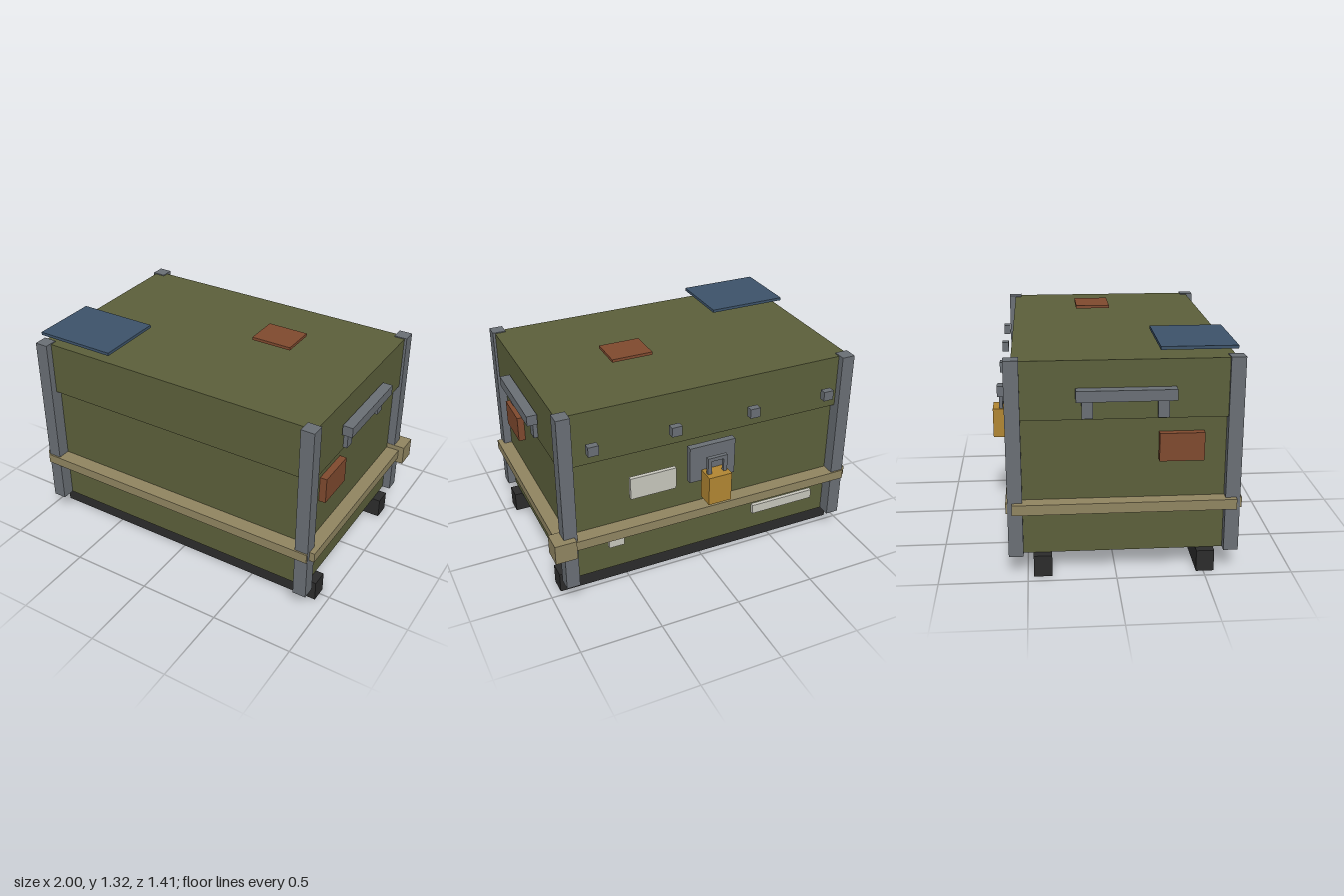
import * as THREE from 'three';

const mat = (name, color) => {
  const m = new THREE.MeshStandardMaterial({ color });
  m.name = name;
  return m;
};

export function createModel() {
  const olive = mat('olive paint', 0x5b5f3a);
  const steel = mat('grey steel', 0x696e74);
  const webbing = mat('tan webbing', 0x8f8460);
  const rubber = mat('black runner', 0x2b2b2b);
  const brass = mat('brass', 0xb08532);
  const blue = mat('blue sticker', 0x3c5269);
  const rust = mat('rust sticker', 0x7e492e);
  const paper = mat('pale label', 0xc6c5bb);

  const model = new THREE.Group();
  model.name = 'storageCrate';

  // Box given by its extents on each axis
  const box = (name, material, [x0, x1], [y0, y1], [z0, z1]) => {
    const mesh = new THREE.Mesh(new THREE.BoxGeometry(x1 - x0, y1 - y0, z1 - z0), material);
    mesh.position.set((x0 + x1) / 2, (y0 + y1) / 2, (z0 + z1) / 2);
    mesh.name = name;
    model.add(mesh);
  };
  // Range from a to b, measured outward from the centre c on side s
  const out = (c, s, a, b) => (s > 0 ? [c + a, c + b] : [c - b, c - a]);
  const CX = -0.007, CZ = 0.045;

  // Case, overhanging lid and runners
  box('body', olive, [CX - 0.89, CX + 0.89], [0.127, 0.925], [CZ - 0.57, CZ + 0.57]);
  box('lid', olive, [CX - 0.925, CX + 0.925], [0.925, 1.256], [CZ - 0.608, CZ + 0.608]);
  box('frontRunner', rubber, [-0.947, 0.933], [0, 0.127], [0.458, 0.56]);
  box('backRunner', rubber, [-0.947, 0.933], [0, 0.127], [-0.466, -0.362]);

  for (const s of [-1, 1]) {
    // Corner posts
    for (const t of [-1, 1])
      box('cornerPost', steel, out(CX, s, 0.858, 0.94), [0.127, 1.262], out(CZ, t, 0.567, 0.65));

    // Strap runs: one side, and one across the front or back
    box('sideStrap', webbing, out(CX, s, 0.885, 0.972), [0.392, 0.452], [CZ - 0.625, CZ + 0.627]);
    box('crossStrap', webbing, [-0.947, 0.931], [0.392, 0.452], out(CZ, s, 0.565, 0.66));

    // Side handle and sticker
    box('handleBar', steel, out(CX, s, 0.93, 0.992), [1.042, 1.104], [-0.223, 0.322]);
    for (const z of [-0.16, 0.254])
      box('handleLeg', steel, out(CX, s, 0.915, 0.95), [0.936, 1.042], [z - 0.031, z + 0.031]);
    box('sideSticker', rust, out(CX, s, 0.885, 0.932), [0.675, 0.837], [0.237, 0.487]);
  }

  // Strap buckle on the back corner
  box('strapBuckle', webbing, [0.868, 1.0], [0.36, 0.482], [-0.645, -0.52]);

  // Hinge studs on the back of the lid
  for (let i = 0; i < 4; i++) {
    const x = -0.76 + i * 0.501;
    box('hingeStud', steel, [x - 0.032, x + 0.032], [1.02, 1.08], [-0.645, -0.604]);
  }

  // Hasp and padlock
  box('hasp', steel, [-0.155, 0.14], [0.65, 0.885], [-0.604, -0.563]);
  box('padlock', brass, [-0.083, 0.064], [0.537, 0.723], [-0.708, -0.603]);
  for (const x of [-0.06, 0.041])
    box('shackleLeg', steel, [x - 0.012, x + 0.012], [0.72, 0.822], [-0.667, -0.645]);
  box('shackleTop', steel, [-0.073, 0.054], [0.808, 0.831], [-0.668, -0.643]);

  // Pale labels on the back
  box('largeLabel', paper, [0.224, 0.512], [0.635, 0.775], [-0.595, -0.57]);
  box('smallLabel', paper, [0.56, 0.655], [0.33, 0.425], [-0.595, -0.57]);
  box('longLabel', paper, [-0.73, -0.305], [0.29, 0.35], [-0.595, -0.57]);

  // Stickers hovering over the lid
  box('blueTopSticker', blue, [-0.93, -0.427], [1.304, 1.322], [0.234, 0.653]);
  box('rustTopSticker', rust, [0.18, 0.434], [1.304, 1.322], [-0.165, 0.046]);

  return model;
}
